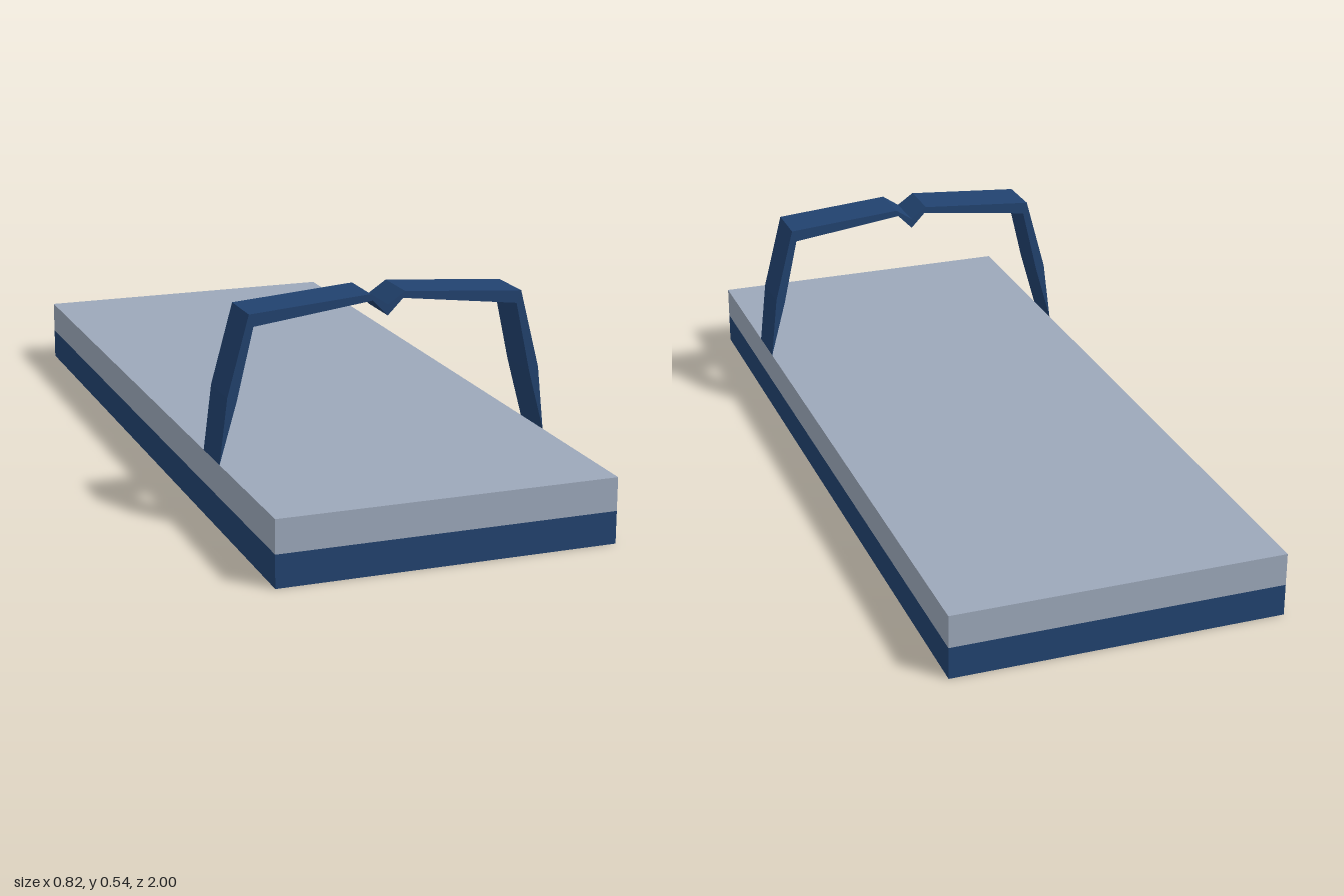
import * as THREE from 'three';

export function createModel() {
  const model = new THREE.Group();
  const navy = new THREE.MeshStandardMaterial({ color: 0x21426f });
  navy.name = 'navy';
  const grey = new THREE.MeshStandardMaterial({ color: 0x9ca8ba });
  grey.name = 'paleGrey';

  const add = (name, geometry, material, y = 0) => {
    const mesh = new THREE.Mesh(geometry, material);
    mesh.name = name;
    mesh.position.y = y;
    model.add(mesh);
  };

  // Two-layer sole
  add('lowerSole', new THREE.BoxGeometry(0.824, 0.079, 2), navy, 0.0395);
  add('upperSole', new THREE.BoxGeometry(0.824, 0.081, 2), grey, 0.1195);

  // Strap outline, right half mirrored onto the left, with a notch in the middle
  const outer = [[0.412, 0.16], [0.393, 0.32], [0.341, 0.514], [0.043, 0.537]];
  const inner = [[0.038, 0.521], [0.33, 0.484], [0.37, 0.31]];
  const mirror = (points) => points.map(([x, y]) => [-x, y]).reverse();
  const outline = [...outer, [0, 0.508], ...mirror(outer), ...mirror(inner), [0, 0.482], ...inner];
  const shape = new THREE.Shape(outline.map(([x, y]) => new THREE.Vector2(x, y)));
  const strap = new THREE.ExtrudeGeometry(shape, { depth: 0.122, bevelEnabled: false });

  // Lean the strap slightly forward
  const pos = strap.attributes.position;
  for (let i = 0; i < pos.count; i++) {
    pos.setZ(i, pos.getZ(i) + 0.49 + (pos.getY(i) - 0.16) * 0.02);
  }
  strap.computeVertexNormals();
  add('strap', strap, navy);

  return model;
}
